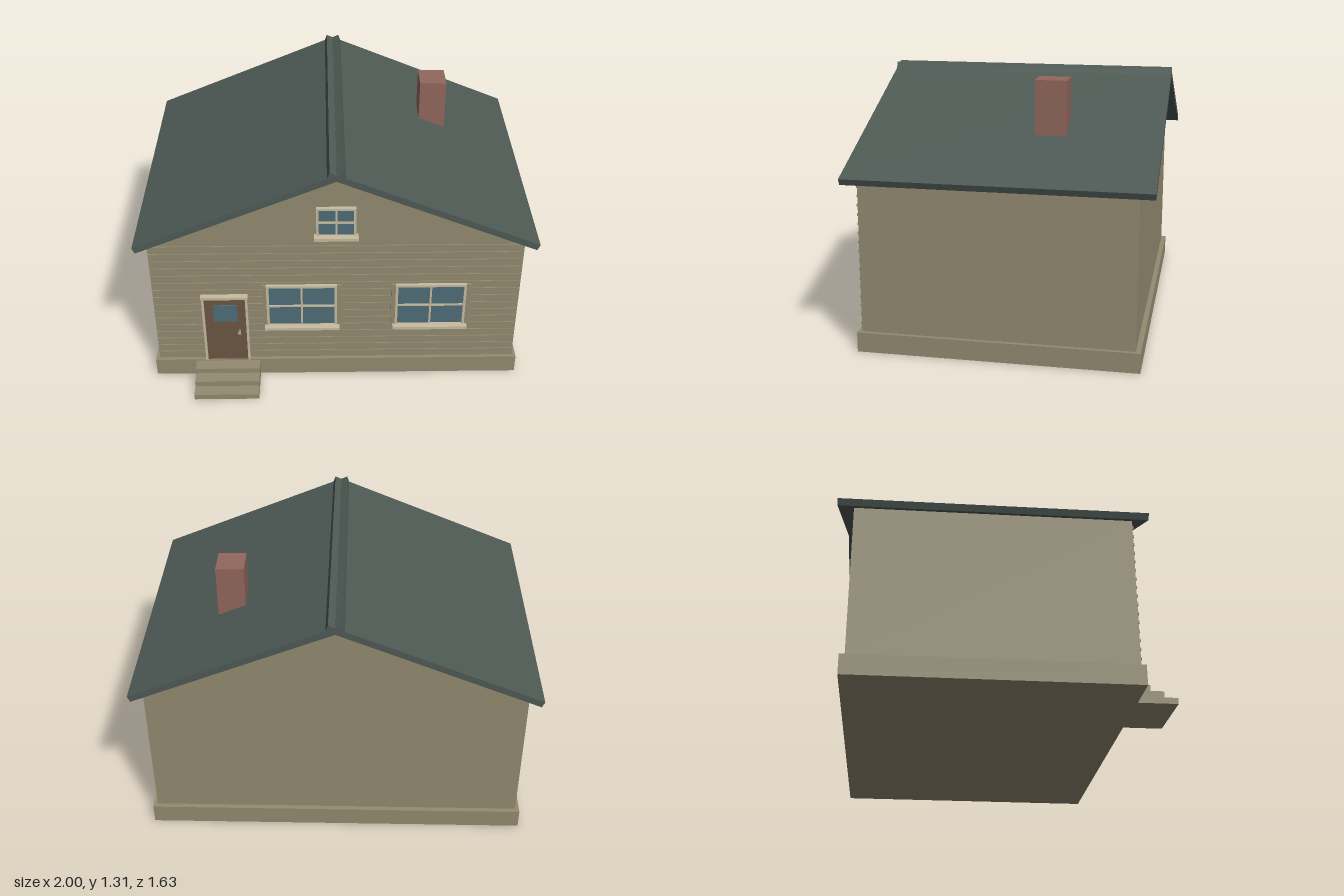
import * as THREE from 'three';

const mat = (name, color) => {
  const m = new THREE.MeshStandardMaterial({ color });
  m.name = name;
  return m;
};

export function createModel() {
  const house = new THREE.Group();
  house.name = 'house';
  const wall = mat('wall tan', 0x938b71);
  const roofMat = mat('roof slate green', 0x4e5a55);
  const brick = mat('chimney red', 0x91675d);
  const trim = mat('trim cream', 0xc8bca0);
  const glass = mat('window glass', 0x4f6d78);
  const doorMat = mat('door brown', 0x6c5743);
  const metal = mat('handle metal', 0x9c9488);

  // Box given by its limits on each axis
  const box = (parent, name, m, x0, x1, y0, y1, z0, z1) => {
    const mesh = new THREE.Mesh(new THREE.BoxGeometry(x1 - x0, y1 - y0, z1 - z0), m);
    mesh.position.set((x0 + x1) / 2, (y0 + y1) / 2, (z0 + z1) / 2);
    mesh.name = name;
    parent.add(mesh);
    return mesh;
  };
  // Cross-section in x/y extruded from z0 to z1
  const prism = (parent, name, m, pts, z0, z1) => {
    const shape = new THREE.Shape(pts.map(([x, y]) => new THREE.Vector2(x, y)));
    const geo = new THREE.ExtrudeGeometry(shape, { depth: z1 - z0, bevelEnabled: false });
    geo.translate(0, 0, z0);
    const mesh = new THREE.Mesh(geo, m);
    mesh.name = name;
    parent.add(mesh);
  };
  const group = (name) => {
    const g = new THREE.Group();
    g.name = name;
    house.add(g);
    return g;
  };

  // Foundation and gabled body
  box(house, 'foundation', wall, -0.96, 0.96, 0, 0.1, -0.765, 0.62);
  prism(house, 'walls', wall,
    [[-0.94, 0.1], [0.94, 0.1], [0.94, 0.867], [0, 1.258], [-0.94, 0.867]], -0.74, 0.6);

  // Horizontal siding battens on the front
  const siding = group('siding');
  for (let i = 0; i < 16; i++) {
    const y = 0.135 + i * 0.046;
    box(siding, 'sidingBoard', wall, -0.938, 0.938, y, y + 0.012, 0.598, 0.605);
  }

  // Roof slopes with a raised board along each side of the ridge
  const roof = group('roof');
  for (const s of [-1, 1]) {
    const side = (pts) => pts.map(([x, y]) => [s * x, y]);
    prism(roof, 'roofSlope', roofMat,
      side([[0, 1.258], [0.987, 0.848], [1, 0.879], [0, 1.294]]), -0.815, 0.67);
    prism(roof, 'ridgeBoard', roofMat,
      side([[0, 1.265], [0.047, 1.27], [0.033, 1.308], [0, 1.293]]), -0.815, 0.67);
  }

  box(house, 'chimney', brick, 0.46, 0.6, 0.98, 1.314, -0.35, -0.195);

  // Entrance steps
  const steps = group('steps');
  [0.815, 0.75, 0.685].forEach((z, i) =>
    box(steps, 'step', wall, -0.743, -0.405, i * 0.031, (i + 1) * 0.031, 0.6, z));

  // Door with casing, pane and handle
  const door = group('door');
  box(door, 'doorLeaf', doorMat, -0.68, -0.468, 0.095, 0.515, 0.59, 0.615);
  box(door, 'doorPane', glass, -0.635, -0.51, 0.363, 0.47, 0.614, 0.62);
  box(door, 'doorCasing', trim, -0.692, -0.68, 0.1, 0.515, 0.59, 0.625);
  box(door, 'doorCasing', trim, -0.468, -0.456, 0.1, 0.515, 0.59, 0.625);
  box(door, 'doorHeader', trim, -0.695, -0.453, 0.515, 0.53, 0.59, 0.63);
  box(door, 'handlePlate', metal, -0.508, -0.498, 0.272, 0.305, 0.614, 0.622);
  box(door, 'handle', metal, -0.512, -0.498, 0.288, 0.296, 0.62, 0.637);

  // Four-pane window: centre x, half width, bottom, top, frame width
  const addWindow = (name, cx, hw, y0, y1, f, sideBoards) => {
    const w = group(name);
    const cy = (y0 + y1) / 2;
    box(w, 'glass', glass, cx - hw, cx + hw, y0, y1, 0.595, 0.608);
    for (const s of [-1, 1]) {
      const x = cx + s * (hw + f / 2);
      box(w, 'frameSide', trim, x - f / 2, x + f / 2, y0, y1, 0.59, 0.62);
      if (sideBoards) {
        const b = cx + s * (hw + f + 0.011);
        box(w, 'sideBoard', wall, b - 0.011, b + 0.011, y0, y1 + f, 0.59, 0.615);
      }
    }
    box(w, 'frameTop', trim, cx - hw - f, cx + hw + f, y1, y1 + f, 0.59, 0.62);
    box(w, 'mullion', trim, cx - 0.005, cx + 0.005, y0, y1, 0.6, 0.616);
    box(w, 'crossBar', trim, cx - hw, cx + hw, cy - 0.005, cy + 0.005, 0.6, 0.615);
    const o = hw + f + 0.012;
    box(w, 'sill', trim, cx - o, cx + o, y0 - 0.016, y0, 0.59, 0.645);
  };
  addWindow('leftFrontWindow', 0.485, 0.168, 0.336, 0.58, 0.013, true);
  addWindow('rightFrontWindow', -0.177, 0.168, 0.336, 0.58, 0.013, true);
  addWindow('atticWindow', 0, 0.086, 0.908, 1.057, 0.012, false);

  return house;
}
